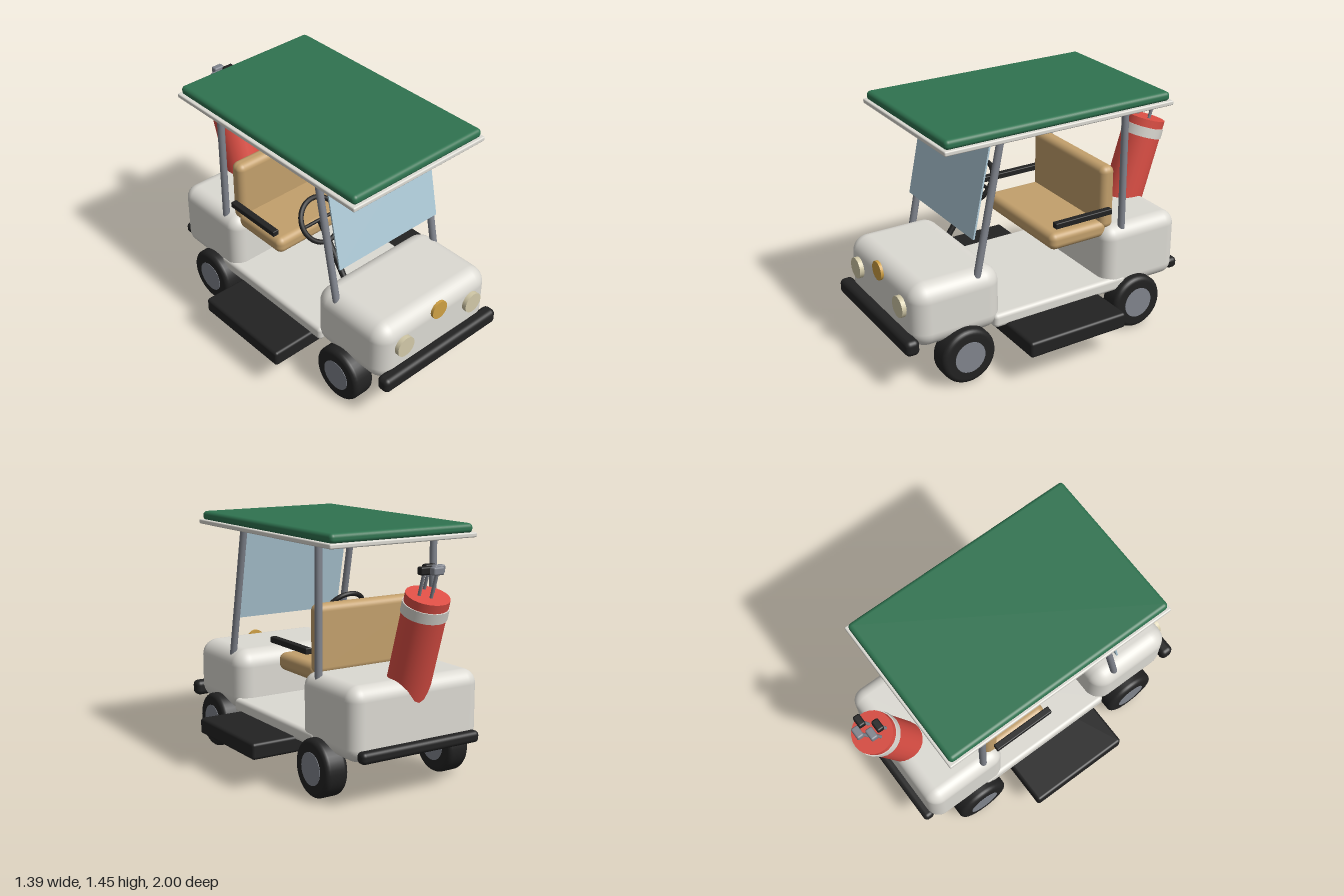
import * as THREE from 'three';
import { RoundedBoxGeometry } from 'three/addons/geometries/RoundedBoxGeometry.js';

const paint = (name, color) => {
  const m = new THREE.MeshStandardMaterial({ color });
  m.name = name;
  return m;
};

export function createModel() {
  const cart = new THREE.Group();
  cart.name = 'golfCart';

  const cream = paint('creamBody', 0xdcdad3);
  const black = paint('blackRubber', 0x222222);
  const steel = paint('steelGrey', 0x80848d);
  const green = paint('greenRoof', 0x2f7350);
  const tan = paint('tanSeat', 0xc3a06c);
  const red = paint('redBag', 0xdd4f45);
  const glass = paint('paleBlueGlass', 0xafcbd9);
  const lamp = paint('lampCream', 0xd2c9a8);
  const gold = paint('goldBadge', 0xcfa044);

  const add = (name, geometry, material, parent = cart) => {
    const mesh = new THREE.Mesh(geometry, material);
    mesh.name = name;
    parent.add(mesh);
    return mesh;
  };
  // Rounded box given by its extents on each axis
  const block = (name, mat, [x0, x1], [y0, y1], [z0, z1], r) => {
    const mesh = add(name, new RoundedBoxGeometry(x1 - x0, y1 - y0, z1 - z0, 5, r), mat);
    mesh.position.set((x0 + x1) / 2, (y0 + y1) / 2, (z0 + z1) / 2);
    return mesh;
  };
  // Round rod between two points
  const rod = (name, mat, a, b, r, parent = cart) => {
    const from = new THREE.Vector3(...a), to = new THREE.Vector3(...b);
    const dir = to.clone().sub(from);
    const mesh = add(name, new THREE.CylinderGeometry(r, r, dir.length(), 24), mat, parent);
    mesh.position.copy(from).add(to).multiplyScalar(0.5);
    mesh.quaternion.setFromUnitVectors(new THREE.Vector3(0, 1, 0), dir.normalize());
    return mesh;
  };

  // Body, floor and bumpers
  block('frontBody', cream, [-0.425, 0.425], [0.245, 0.627], [0.387, 0.937], 0.1);
  block('rearBody', cream, [-0.425, 0.425], [0.25, 0.662], [-0.822, -0.3], 0.08);
  block('floor', cream, [-0.43, 0.43], [0.255, 0.34], [-0.45, 0.45], 0.025);
  block('runningBoard', black, [-0.695, 0.695], [0.18, 0.275], [-0.255, 0.38], 0.018);
  block('frontBumper', black, [-0.44, 0.44], [0.25, 0.342], [0.917, 1.0], 0.03);
  block('rearBumper', black, [-0.39, 0.39], [0.262, 0.328], [-0.868, -0.8], 0.025);

  // Headlights and round badge
  for (const s of [-1, 1]) rod('headlight', lamp, [s * 0.265, 0.475, 0.91], [s * 0.265, 0.475, 0.963], 0.062);
  rod('badge', gold, [0, 0.573, 0.935], [0, 0.573, 0.952], 0.056);

  // Wheels: lathed tyre with rounded shoulders and a hub showing on both faces
  const profile = [new THREE.Vector2(0.085, -0.07)];
  for (const [cy, start] of [[-0.04, -Math.PI / 2], [0.04, 0]]) {
    for (let i = 0; i <= 6; i++) {
      const t = start + (i / 6) * Math.PI / 2;
      profile.push(new THREE.Vector2(0.135 + 0.03 * Math.cos(t), cy + 0.03 * Math.sin(t)));
    }
  }
  profile.push(new THREE.Vector2(0.085, 0.07));
  const tyreShape = new THREE.LatheGeometry(profile, 40);
  const hubShape = new THREE.CylinderGeometry(0.093, 0.093, 0.145, 32);
  for (const x of [-0.411, 0.411]) {
    for (const z of [0.64, -0.505]) {
      const wheel = new THREE.Group();
      wheel.name = 'wheel';
      add('tyre', tyreShape, black, wheel);
      add('hub', hubShape, steel, wheel);
      wheel.rotation.z = Math.PI / 2;
      wheel.position.set(x, 0.166, z);
      cart.add(wheel);
    }
  }

  // Roof and its posts
  block('roofTrim', cream, [-0.48, 0.48], [1.37, 1.397], [-0.695, 0.76], 0.008);
  block('roof', green, [-0.466, 0.466], [1.392, 1.447], [-0.682, 0.748], 0.024);
  for (const x of [-0.383, 0.383]) {
    rod('frontPost', steel, [x, 0.58, 0.537], [x, 1.38, 0.373], 0.021);
    rod('rearPost', steel, [x, 0.62, -0.433], [x, 1.38, -0.433], 0.021);
  }

  // Slanted windshield
  const shield = add('windshield', new THREE.BoxGeometry(0.745, 0.555, 0.01), glass);
  shield.position.set(0, 1.082, 0.488);
  shield.rotation.x = -0.205;

  // Bench seat and armrests
  block('seatCushion', tan, [-0.365, 0.365], [0.592, 0.695], [-0.35, 0.037], 0.04);
  block('seatBack', tan, [-0.365, 0.365], [0.64, 1.03], [-0.396, -0.302], 0.04);
  for (const x of [-0.39, 0.39]) block('armrest', black, [x - 0.02, x + 0.02], [0.755, 0.79], [-0.347, 0.038], 0.006);

  // Steering wheel and column
  rod('steeringColumn', black, [-0.195, 0.5, 0.44], [-0.195, 0.86, 0.188], 0.018);
  const steering = add('steeringWheel', new THREE.TorusGeometry(0.128, 0.015, 12, 40), black);
  steering.position.set(-0.195, 0.863, 0.193);
  steering.rotation.x = -0.61;
  rod('steeringSpoke', black, [-0.32, 0.863, 0.193], [-0.07, 0.863, 0.193], 0.01);

  // Leaning bag; its origin is the centre of the open end
  const bag = new THREE.Group();
  bag.name = 'golfBag';
  bag.position.set(0, 1.12, -0.882);
  bag.rotation.x = -0.307;
  cart.add(bag);
  rod('bagTube', red, [0, -0.7, 0], [0, 0, 0], 0.12, bag);
  rod('bagBand', cream, [0, -0.108, 0], [0, -0.048, 0], 0.126, bag);

  // Clubs: head x, head z, head colour
  const clubs = [[0, -0.955, steel], [0.048, -0.912, black], [-0.05, -0.9, steel], [-0.03, -0.848, black]];
  for (const [x, z, mat] of clubs) {
    rod('clubShaft', steel, [x, 1.06, z + 0.062], [x, 1.255, z], 0.009);
    block('clubHead', mat, [x - 0.034, x + 0.034], [1.235, 1.278], [z - 0.021, z + 0.021], 0.01);
  }

  return cart;
}
